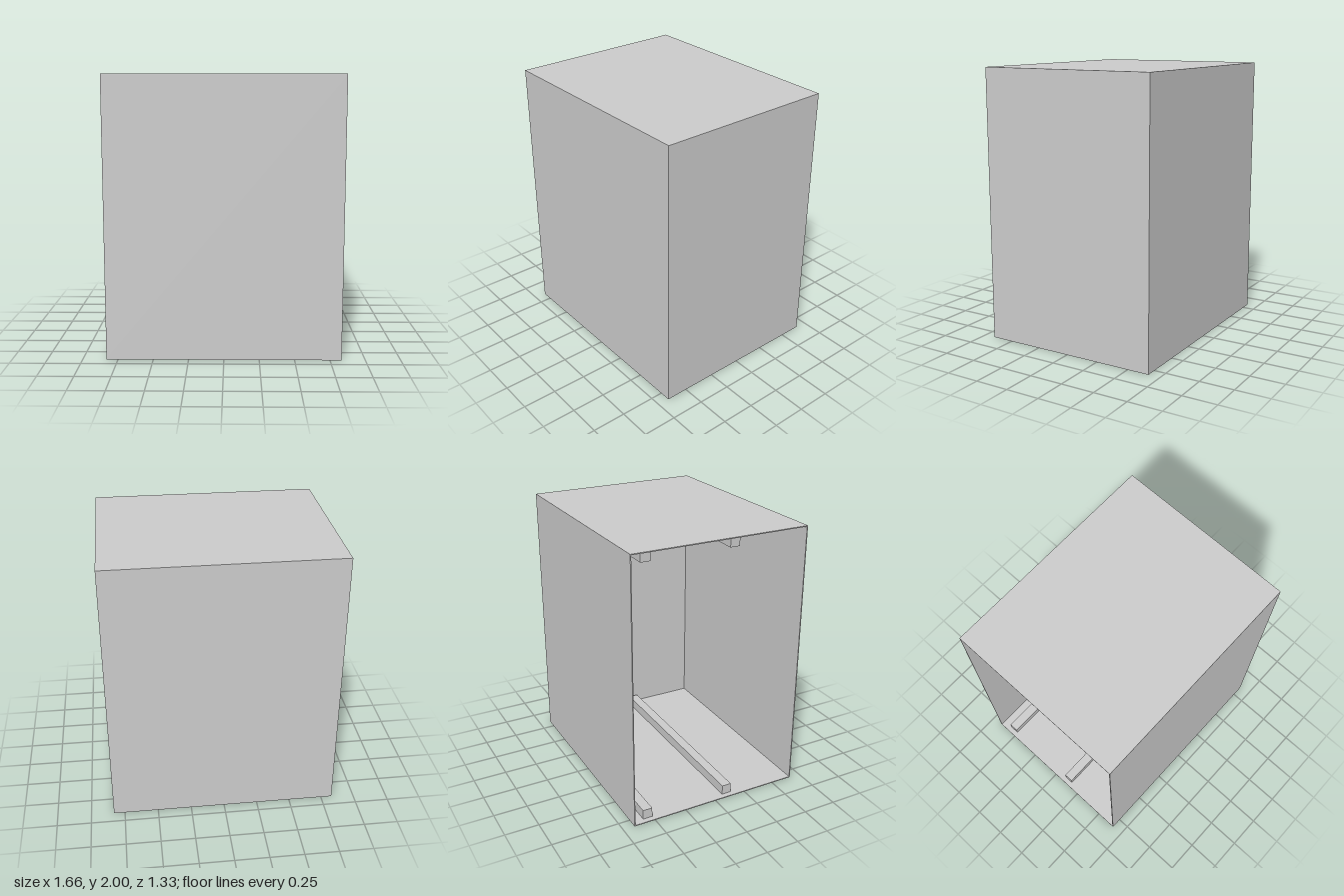
import * as THREE from 'three';

const W = 1.664, H = 2, D = 1.326; // overall size
const T = 0.007;                   // sheet thickness
const RAIL = 0.072;                // rail cross-section

export function createModel() {
  const group = new THREE.Group();
  const material = new THREE.MeshStandardMaterial({ color: 0xcccccc, flatShading: true });

  const box = (name, size, position) => {
    const mesh = new THREE.Mesh(new THREE.BoxGeometry(...size), material);
    mesh.name = name;
    mesh.position.set(...position);
    group.add(mesh);
  };

  // Thin sheet panels; the -x side is left open
  box('bottomPanel', [W, T, D], [0, T / 2, 0]);
  box('topPanel', [W, T, D], [0, H - T / 2, 0]);
  box('frontPanel', [W, H - 2 * T, T], [0, H / 2, D / 2 - T / 2]);
  box('backPanel', [W, H - 2 * T, T], [0, H / 2, -D / 2 + T / 2]);
  box('sidePanel', [T, H - 2 * T, D - 2 * T], [W / 2 - T / 2, H / 2, 0]);

  // Square rails along the floor and the ceiling
  for (const [place, z] of [['back', -0.54], ['middle', 0.115]]) {
    const size = [W - 0.08, RAIL, RAIL];
    box(place + 'FloorRail', size, [0, T + RAIL / 2, z]);
    box(place + 'CeilingRail', size, [0, H - T - RAIL / 2, z]);
  }

  return group;
}
